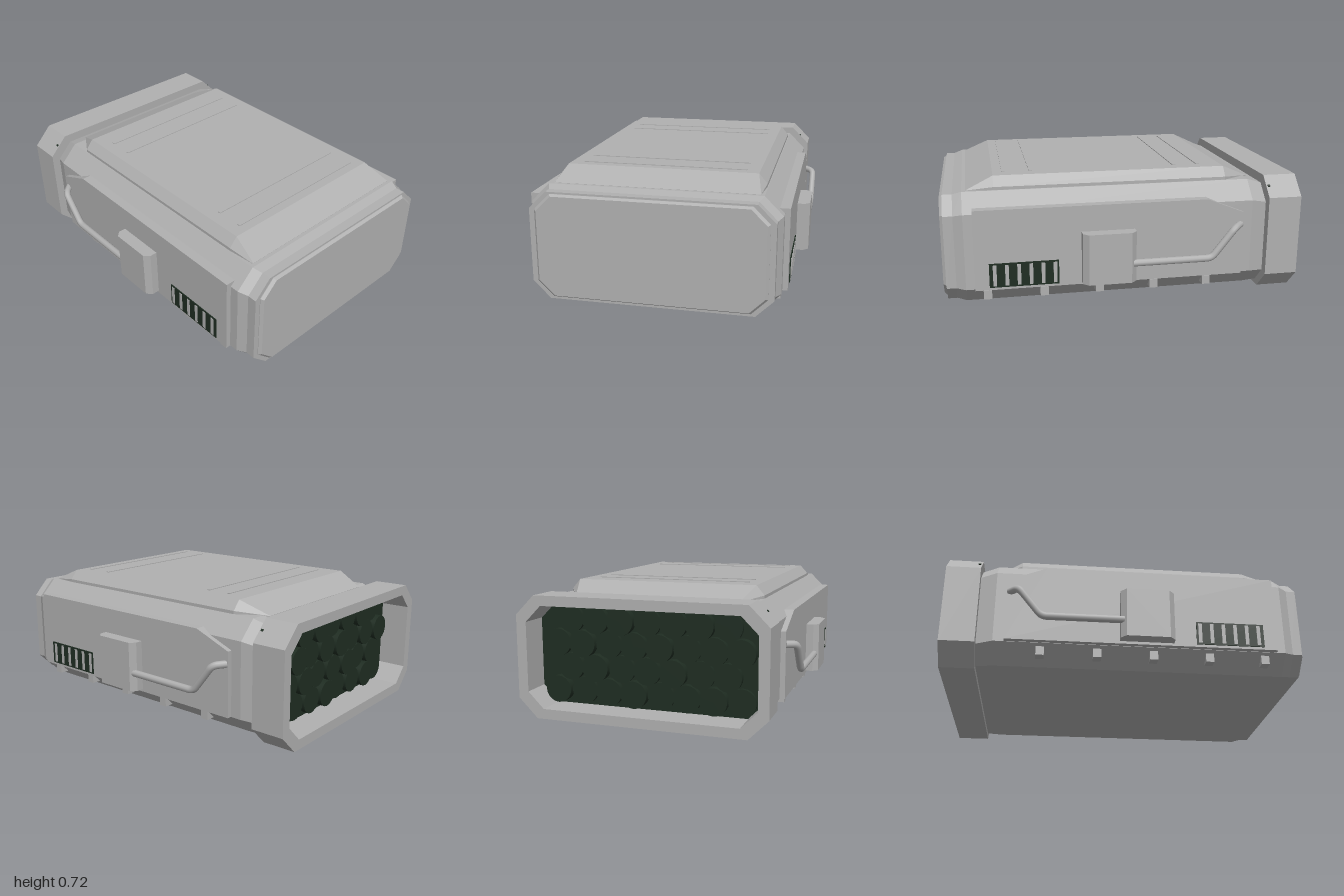
import * as THREE from 'three';

const grey = new THREE.MeshStandardMaterial({ color: 0xb0b0b0 });
grey.name = 'grey metal';
const dark = new THREE.MeshStandardMaterial({ color: 0x1f2d22 });
dark.name = 'dark green';

// Chamfered rectangle at depth z, counter-clockwise seen from the front
function octagon(z, w, y0, y1, c) {
  return [[w, y0 + c], [w, y1 - c], [w - c, y1], [c - w, y1],
    [-w, y1 - c], [-w, y0 + c], [c - w, y0], [w - c, y0]].map(([x, y]) => [x, y, z]);
}

// Flat-faced skin over rings that run from front to back
function loft(rings, caps = true) {
  const pos = [];
  const tri = (...pts) => pts.forEach((p) => pos.push(...p));
  for (let r = 0; r < rings.length - 1; r++) {
    const a = rings[r], b = rings[r + 1];
    for (let i = 0; i < a.length; i++) {
      const j = (i + 1) % a.length;
      tri(a[i], b[i], b[j]);
      tri(a[i], b[j], a[j]);
    }
  }
  if (caps) {
    const f = rings[0], e = rings[rings.length - 1];
    for (let i = 1; i < f.length - 1; i++) {
      tri(f[0], f[i], f[i + 1]);
      tri(e[0], e[i + 1], e[i]);
    }
  }
  const g = new THREE.BufferGeometry();
  g.setAttribute('position', new THREE.Float32BufferAttribute(pos, 3));
  g.computeVertexNormals();
  return g;
}

function add(parent, name, geometry, material, x = 0, y = 0, z = 0) {
  const m = new THREE.Mesh(geometry, material);
  m.name = name;
  m.position.set(x, y, z);
  parent.add(m);
  return m;
}

const box = (x, y, z) => new THREE.BoxGeometry(x, y, z);

// Side fittings, built for the +x side (sign 1) or the -x side (sign -1)
function createSide(sign) {
  const side = new THREE.Group();
  side.name = sign > 0 ? 'leftSide' : 'rightSide';

  // Armour panel, outlined in (z, y) and given a thickness along x
  const outline = [[0.83, 0.13], [0.83, 0.575], [-0.45, 0.575], [-0.66, 0.49], [-0.66, 0.13]];
  const shape = new THREE.Shape(outline.map(([z, y]) => new THREE.Vector2(-z, y)));
  const panel = new THREE.ExtrudeGeometry(shape, { depth: 0.06, bevelEnabled: false });
  panel.rotateY(Math.PI / 2);
  add(side, 'sidePanel', panel, grey, sign > 0 ? 0.638 : -0.698);

  // Equipment box with chamfered outer edges, outlined in (x, z)
  const plan = [[0.68, 0.255], [0.74, 0.255], [0.77, 0.225], [0.77, -0.01], [0.74, -0.04], [0.68, -0.04]];
  const boxShape = new THREE.Shape(plan.map(([x, z]) => new THREE.Vector2(sign * x, -z)));
  const housing = new THREE.ExtrudeGeometry(boxShape, { depth: 0.285, bevelEnabled: false });
  housing.rotateX(-Math.PI / 2);
  add(side, 'equipmentBox', housing, grey, 0, 0.145, 0);

  // Bent pipe running back from the box
  const pts = [[0.745, 0.25, -0.02], [0.745, 0.25, -0.465], [0.745, 0.415, -0.595], [0.69, 0.42, -0.645]]
    .map(([x, y, z]) => new THREE.Vector3(sign * x, y, z));
  const path = new THREE.CurvePath();
  const soft = (a, b) => a.clone().lerp(b, 0.03 / a.distanceTo(b));
  let from = pts[0];
  for (let i = 1; i < pts.length - 1; i++) {
    const p = soft(pts[i], pts[i - 1]), q = soft(pts[i], pts[i + 1]);
    path.add(new THREE.LineCurve3(from, p));
    path.add(new THREE.QuadraticBezierCurve3(p, pts[i], q));
    from = q;
  }
  path.add(new THREE.LineCurve3(from, pts[3]));
  add(side, 'pipe', new THREE.TubeGeometry(path, 70, 0.02, 10, false), grey);

  // Vent: dark plate with raised slats
  add(side, 'ventPlate', box(0.008, 0.135, 0.375), dark, sign * 0.699, 0.212, 0.567);
  for (let i = 0; i < 6; i++) {
    add(side, 'ventSlat', box(0.012, 0.117, 0.02), grey, sign * 0.7, 0.212, 0.4 + i * 0.065);
  }

  // Clips along the lower edge
  for (let i = 0; i < 5; i++) {
    add(side, 'lowerClip', box(0.07, 0.05, 0.045), grey, sign * 0.625, 0.087, 0.765 - i * 0.308);
  }

  // Small bolt on the collar's upper slope
  const bolt = add(side, 'collarBolt', box(0.012, 0.008, 0.014), dark, sign * 0.636, 0.618, -0.825);
  bolt.rotation.z = -sign * Math.PI / 4;
  return side;
}

export function createModel() {
  const model = new THREE.Group();
  model.name = 'equipmentPod';

  // Main hull, narrowing at both ends
  add(model, 'hull', loft([
    octagon(0.982, 0.645, 0.038, 0.632, 0.095),
    octagon(0.93, 0.645, 0.038, 0.632, 0.095),
    octagon(0.88, 0.67, 0.028, 0.648, 0.1),
    octagon(-0.72, 0.67, 0.028, 0.648, 0.1),
    octagon(-0.82, 0.64, 0.028, 0.615, 0.09),
  ]), grey);

  // Bevelled front plate
  add(model, 'frontPlate', loft([
    octagon(1, 0.602, 0.062, 0.612, 0.083),
    octagon(0.985, 0.615, 0.052, 0.622, 0.087),
    octagon(0.97, 0.615, 0.052, 0.622, 0.087),
  ]), grey);

  // Raised roof with sloping ends
  const roof = (z, base, top, y) => [[base, 0.6], [base, Math.min(y, 0.665)], [top, y],
    [-top, y], [-base, Math.min(y, 0.665)], [-base, 0.6]].map(([x, h]) => [x, h, z]);
  add(model, 'roof', loft([
    roof(0.86, 0.55, 0.545, 0.649),
    roof(0.71, 0.565, 0.52, 0.718),
    roof(-0.59, 0.565, 0.52, 0.718),
    roof(-0.75, 0.47, 0.465, 0.645),
  ]), grey);
  for (const z of [0.65, 0.5, -0.32, -0.46]) {
    add(model, 'roofRib', box(0.9, 0.012, 0.018), grey, 0, 0.716, z);
  }

  // Hollow rear collar: outside, rim, inside and front face
  const outer = (z) => octagon(z, 0.692, 0, 0.67, 0.108);
  const inner = (z) => octagon(z, 0.635, 0.055, 0.615, 0.09);
  add(model, 'rearCollar', loft(
    [outer(-0.81), outer(-1), inner(-1), inner(-0.81), outer(-0.81)], false), grey);

  // Dark core with staggered round cells inside the collar
  add(model, 'rearCore', loft([octagon(-0.82, 0.634, 0.056, 0.614, 0.09),
    octagon(-0.835, 0.634, 0.056, 0.614, 0.09)]), dark);
  for (let row = 0; row < 4; row++) {
    for (let i = 0; i < 8 - (row % 2); i++) {
      const x = (i - (7 - (row % 2)) / 2) * 0.148;
      const depth = 0.02 + 0.012 * ((i * 2 + row) % 3);
      const cell = add(model, 'rearCell', new THREE.CylinderGeometry(0.075, 0.075, depth, 20),
        dark, x, 0.14 + row * 0.13, -0.835 - depth / 2);
      cell.rotation.x = Math.PI / 2;
    }
  }

  model.add(createSide(1), createSide(-1));
  return model;
}
